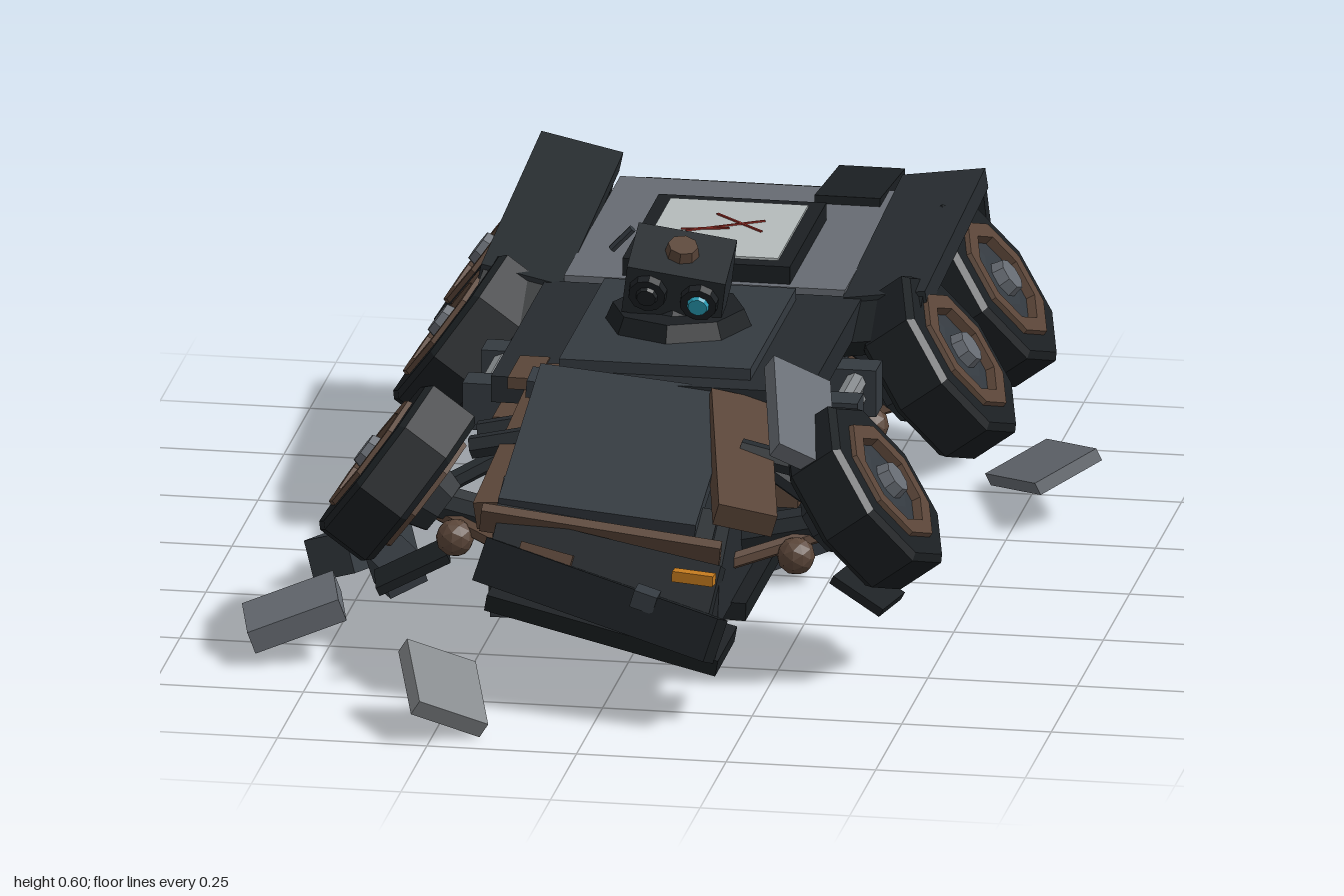
import * as THREE from 'three';

const C = {
  black: 0x1b1f22, dark: 0x262b2f, slate: 0x343a40, grey: 0x666b72, brown: 0x5a4538,
  steel: 0x85898c, screen: 0xb4bbbb, red: 0x9a3028, green: 0x2f9d6a, cyan: 0x2a9fb8, orange: 0xc47a1e,
};
const mats = {};
const mat = (c) => (mats[c] ??= new THREE.MeshStandardMaterial({ color: C[c], flatShading: true }));

function add(parent, name, geo, color, pos = [0, 0, 0], rot = [0, 0, 0]) {
  const m = new THREE.Mesh(geo, mat(color));
  m.name = name;
  m.position.set(...pos);
  m.rotation.set(...rot);
  parent.add(m);
  return m;
}
const box = (p, name, color, size, pos, rot) => add(p, name, new THREE.BoxGeometry(...size), color, pos, rot);
const cyl = (p, name, color, r0, r1, h, n, pos, rot) =>
  add(p, name, new THREE.CylinderGeometry(r0, r1, h, n), color, pos, rot);

// Round bar between two points
function rod(p, name, color, a, b, r, n = 6) {
  const A = new THREE.Vector3(...a), B = new THREE.Vector3(...b);
  const d = B.clone().sub(A);
  const m = cyl(p, name, color, r, r, d.length(), n);
  m.position.copy(A).add(B).multiplyScalar(0.5);
  m.quaternion.setFromUnitVectors(new THREE.Vector3(0, 1, 0), d.normalize());
}

// Slab extruded across x from a side profile of [z, y] points
function sideSlab(points, width) {
  const g = new THREE.ExtrudeGeometry(new THREE.Shape(points.map((q) => new THREE.Vector2(...q))),
    { depth: width, bevelEnabled: false });
  g.translate(0, 0, -width / 2);
  g.rotateY(-Math.PI / 2);
  return g;
}

function makeHull(root) {
  add(root, 'hull', sideSlab([[0.74, 0.16], [0.72, 0.24], [0.62, 0.3], [0.3, 0.38], [-0.24, 0.41], [-0.78, 0.42],
    [-0.86, 0.4], [-0.86, 0.21], [-0.6, 0.16]], 0.38), 'dark');
  box(root, 'bellyPlate', 'black', [0.43, 0.03, 1.1], [0, 0.155, 0.06], [0, 0, -0.03]);
  box(root, 'bellyPatch', 'slate', [0.2, 0.012, 0.34], [0.06, 0.138, -0.2], [0, 0, -0.03]);
  box(root, 'rearBellyPlate', 'dark', [0.42, 0.025, 0.46], [0, 0.18, -0.7], [0.13, 0, 0]);

  // Middle deck
  box(root, 'middleDeck', 'dark', [0.53, 0.045, 0.52], [0, 0.41, 0.04]);
  box(root, 'turretDeck', 'slate', [0.32, 0.03, 0.44], [0, 0.437, 0.03]);
  box(root, 'rustPatch', 'brown', [0.07, 0.02, 0.04], [0.11, 0.425, -0.2], [0, 0.2, 0]);
  box(root, 'rustPatch', 'brown', [0.05, 0.02, 0.12], [-0.21, 0.425, 0.25]);

  // Rear deck with cracked display
  box(root, 'rearDeck', 'grey', [0.47, 0.03, 0.54], [0, 0.425, -0.5]);
  box(root, 'displayFrame', 'black', [0.28, 0.04, 0.35], [0, 0.45, -0.42]);
  box(root, 'displayPanel', 'screen', [0.23, 0.012, 0.29], [0, 0.468, -0.42]);
  [[0, -0.43, 0.14, 0.55], [0.02, -0.45, 0.12, -0.75], [-0.03, -0.41, 0.08, 0.2]].forEach(([x, z, l, a]) =>
    box(root, 'crack', 'red', [l, 0.003, 0.004], [x, 0.475, z], [0, a, 0]));

  // Sloping tail
  add(root, 'tailBlock', sideSlab([[-0.76, 0.43], [-0.94, 0.385], [-0.95, 0.22], [-0.8, 0.18]], 0.44), 'dark');
  box(root, 'tailPatch', 'black', [0.11, 0.02, 0.24], [0.16, 0.432, -0.8], [-0.1, 0, 0]);
  box(root, 'tailBumper', 'brown', [0.27, 0.16, 0.05], [0, 0.285, -0.968], [0.1, 0, 0]);
  box(root, 'tailLight', 'green', [0.18, 0.06, 0.012], [0, 0.315, -0.99], [0.1, 0, 0]);
}

function makeNose(root) {
  box(root, 'hoodPlate', 'slate', [0.33, 0.03, 0.42], [-0.02, 0.375, 0.49], [0.25, 0, -0.1]);
  box(root, 'hoodRail', 'brown', [0.1, 0.04, 0.38], [0.185, 0.365, 0.48], [0.22, 0.2, -0.3]);
  box(root, 'hoodRail', 'brown', [0.06, 0.05, 0.46], [-0.185, 0.36, 0.44], [0.22, -0.06, 0.1]);
  box(root, 'hoodHinge', 'slate', [0.4, 0.03, 0.06], [0, 0.41, 0.31], [0.1, 0, -0.1]);
  box(root, 'browPlate', 'dark', [0.36, 0.05, 0.1], [-0.01, 0.305, 0.66], [0.4, 0, -0.14]);
  box(root, 'browTrim', 'brown', [0.4, 0.045, 0.02], [-0.01, 0.3, 0.71], [0.4, 0, -0.14]);
  box(root, 'nosePlate', 'dark', [0.38, 0.09, 0.06], [0, 0.25, 0.72], [-0.4, 0.03, -0.18]);
  box(root, 'noseRust', 'brown', [0.09, 0.07, 0.03], [-0.1, 0.25, 0.75], [-0.4, 0, -0.22]);
  box(root, 'frontBumper', 'black', [0.42, 0.075, 0.06], [0, 0.21, 0.775], [-0.35, -0.12, -0.28]);
  box(root, 'lowerSkirt', 'black', [0.4, 0.03, 0.12], [0.01, 0.165, 0.73], [0.2, -0.1, -0.2]);
  box(root, 'bumperBracket', 'slate', [0.04, 0.03, 0.04], [0.08, 0.225, 0.8], [0, 0, -0.3]);
  box(root, 'headLight', 'orange', [0.07, 0.018, 0.02], [0.155, 0.255, 0.765], [0, -0.1, -0.05]);
}

function makeTurret(root) {
  cyl(root, 'turretRing', 'black', 0.11, 0.125, 0.035, 8, [0, 0.463, 0.02]);
  cyl(root, 'turretNeck', 'dark', 0.05, 0.07, 0.04, 8, [0, 0.485, 0.02]);
  rod(root, 'antenna', 'slate', [-0.11, 0.575, 0.03], [-0.075, 0.612, 0.03], 0.007);
  const head = new THREE.Group();
  head.name = 'sensorHead';
  head.position.set(0.003, 0.535, 0.03);
  head.rotation.set(0.35, 0, -0.16);
  root.add(head);
  box(head, 'headShell', 'dark', [0.165, 0.095, 0.12], [0, 0, 0]);
  for (const s of [-1, 1]) {
    cyl(head, 'eyeRim', 'black', 0.031, 0.034, 0.025, 10, [s * 0.043, 0.005, 0.062], [Math.PI / 2, 0, 0]);
    cyl(head, 'eyeLens', s > 0 ? 'cyan' : 'black', 0.016, 0.02, 0.01, 10, [s * 0.043, 0.005, 0.076], [Math.PI / 2, 0, 0]);
  }
  cyl(head, 'headCap', 'brown', 0.025, 0.03, 0.025, 8, [0, 0.053, 0]);
}

// Eight-sided wheel, axle along local y, outer face up
function makeWheel(name) {
  const w = new THREE.Group();
  w.name = name;
  const lathe = (n, color, pts) =>
    add(w, n, new THREE.LatheGeometry(pts.map((q) => new THREE.Vector2(...q)), 8), color);
  lathe('tyre', 'black', [[0, -0.052], [0.15, -0.052], [0.161, -0.042], [0.161, 0.042], [0.15, 0.052], [0.112, 0.052]]);
  lathe('rim', 'brown', [[0.116, 0.047], [0.112, 0.06], [0.084, 0.06], [0.08, 0.042]]);
  lathe('innerRim', 'brown', [[0.08, -0.045], [0.084, -0.062], [0.112, -0.062], [0.116, -0.045]]);
  lathe('wheelDisc', 'slate', [[0.085, 0.044], [0.05, 0.05], [0.03, 0.05]]);
  lathe('hub', 'grey', [[0.034, 0.045], [0.028, 0.07], [0, 0.07]]);
  lathe('innerDrum', 'dark', [[0, -0.095], [0.05, -0.095], [0.065, -0.05]]);
  return w;
}

function makeRunningGear(root) {
  for (const s of [-1, 1]) {
    [0.48, -0.23, -0.62].forEach((z, i) => {
      const w = makeWheel(['frontWheel', 'middleWheel', 'rearWheel'][i]);
      w.position.set(s * 0.39, 0.315, z);
      w.rotation.z = -s * 0.94; // tops lean steeply inward
      root.add(w);
      rod(root, 'axle', 'dark', [s * 0.14, 0.23, z], [s * 0.34, 0.275, z], 0.03, 8);
      rod(root, 'wishbone', 'brown', [s * 0.17, 0.22, z + 0.1], [s * 0.32, 0.25, z], 0.014);
      rod(root, 'damper', 'dark', [s * 0.18, 0.36, z - 0.07], [s * 0.3, 0.3, z - 0.02], 0.016);
      add(root, 'ballJoint', new THREE.IcosahedronGeometry(0.032, 1), 'brown', [s * 0.285, 0.225, z + 0.05]);
    });
    // Side machinery between the wheels
    box(root, 'sideRack', 'brown', [0.06, 0.15, 0.3], [s * 0.22, 0.31, 0.08]);
    box(root, 'sideTank', 'brown', [0.07, 0.13, 0.08], [s * 0.22, 0.31, 0.3]);
    for (const y of [0.335, 0.362])
      rod(root, 'gasBottle', 'steel', [s * 0.295, y, -0.03], [s * 0.295, y, 0.19], 0.018, 8);
    for (const z of [-0.01, 0.17])
      box(root, 'bottleClamp', 'slate', [0.09, 0.08, 0.06], [s * 0.285, 0.345, z]);
    rod(root, 'loosePipe', 'brown', [s * 0.27, 0.28, -0.09], [s * 0.28, 0.24, 0.2], 0.013);
    rod(root, 'loosePipe', 'orange', [s * 0.27, 0.3, -0.08], [s * 0.29, 0.27, 0.05], 0.009);
    rod(root, 'loosePipe', 'brown', [s * 0.27, 0.23, 0], [s * 0.3, 0.29, 0.16], 0.011);
    box(root, 'valveBox', 'brown', [0.05, 0.05, 0.05], [s * 0.28, 0.25, 0.06], [0.4, 0.2, 0]);
    box(root, 'lowerStep', 'black', [0.05, 0.035, 0.4], [s * 0.225, 0.195, 0.08]);
    for (const z of [0.38, 0.46])
      rod(root, 'fenderStay', 'dark', [s * 0.18, 0.38, z], [s * 0.27, 0.36, z], 0.02);
    box(root, 'rearSidePanel', 'slate', [0.03, 0.1, 0.5], [s * 0.22, 0.365, -0.48]);

    // Rear fender with drooping tail flap
    const f = new THREE.Group();
    f.name = 'rearFender';
    f.position.set(s * 0.305, s < 0 ? 0.45 : 0.44, -0.5);
    f.rotation.set(s < 0 ? 0.08 : 0.05, 0, s * (s < 0 ? 0.22 : 0.14));
    root.add(f);
    box(f, 'fenderTop', 'dark', [0.14, 0.035, 0.58], [0, 0, 0]);
    box(f, 'fenderFront', 'black', [0.13, 0.03, 0.12], [0, -0.02, 0.32], [0.4, 0, 0]);
    box(f, 'fenderFlap', 'black', [0.13, 0.09, 0.03], [0, -0.045, -0.28], [-0.15, 0, 0]);
    box(f, 'fenderLamp', s > 0 ? 'cyan' : 'orange', [0.09, 0.018, 0.01], [0, -0.035, -0.298], [-0.15, 0, 0]);
  }
  box(root, 'tornFender', 'grey', [0.11, 0.03, 0.23], [0.285, 0.45, 0.49], [0.38, 0.2, -0.62]);
  box(root, 'hangingFlap', 'black', [0.13, 0.015, 0.1], [-0.37, 0.145, 0.45], [0, 0.2, 0.45]);
  box(root, 'hangingFlap', 'black', [0.1, 0.015, 0.1], [0.39, 0.15, 0.45], [0, -0.2, -0.5]);
}

function makeDebris(root) {
  // color, size, position, rotation (roll applied last)
  [
    ['grey', [0.16, 0.04, 0.13], [-0.55, 0.088, 0.55], [0.15, 0.2, 0.36]],
    ['steel', [0.13, 0.03, 0.16], [-0.24, 0.085, 0.9], [0.22, 0.45, -0.46]],
    ['slate', [0.08, 0.07, 0.21], [-0.51, 0.075, 0.14], [-0.2, -0.3, 0.35]],
    ['slate', [0.07, 0.06, 0.07], [-0.435, 0.072, 0.235], [0.3, 0.5, 0.4]],
    ['grey', [0.12, 0.022, 0.26], [0.53, 0.084, -0.44], [0, 0.55, 0.46]],
    ['slate', [0.16, 0.04, 0.12], [0.17, 0.075, 0], [0.15, 0.2, 0.35]],
  ].forEach(([c, size, pos, rot]) => {
    box(root, 'debrisSlab', c, size, pos, rot).rotation.order = 'ZYX';
  });
}

export function createModel() {
  const root = new THREE.Group();
  root.name = 'wreckedRover';
  makeHull(root);
  makeNose(root);
  makeTurret(root);
  makeRunningGear(root);
  makeDebris(root);
  return root;
}
